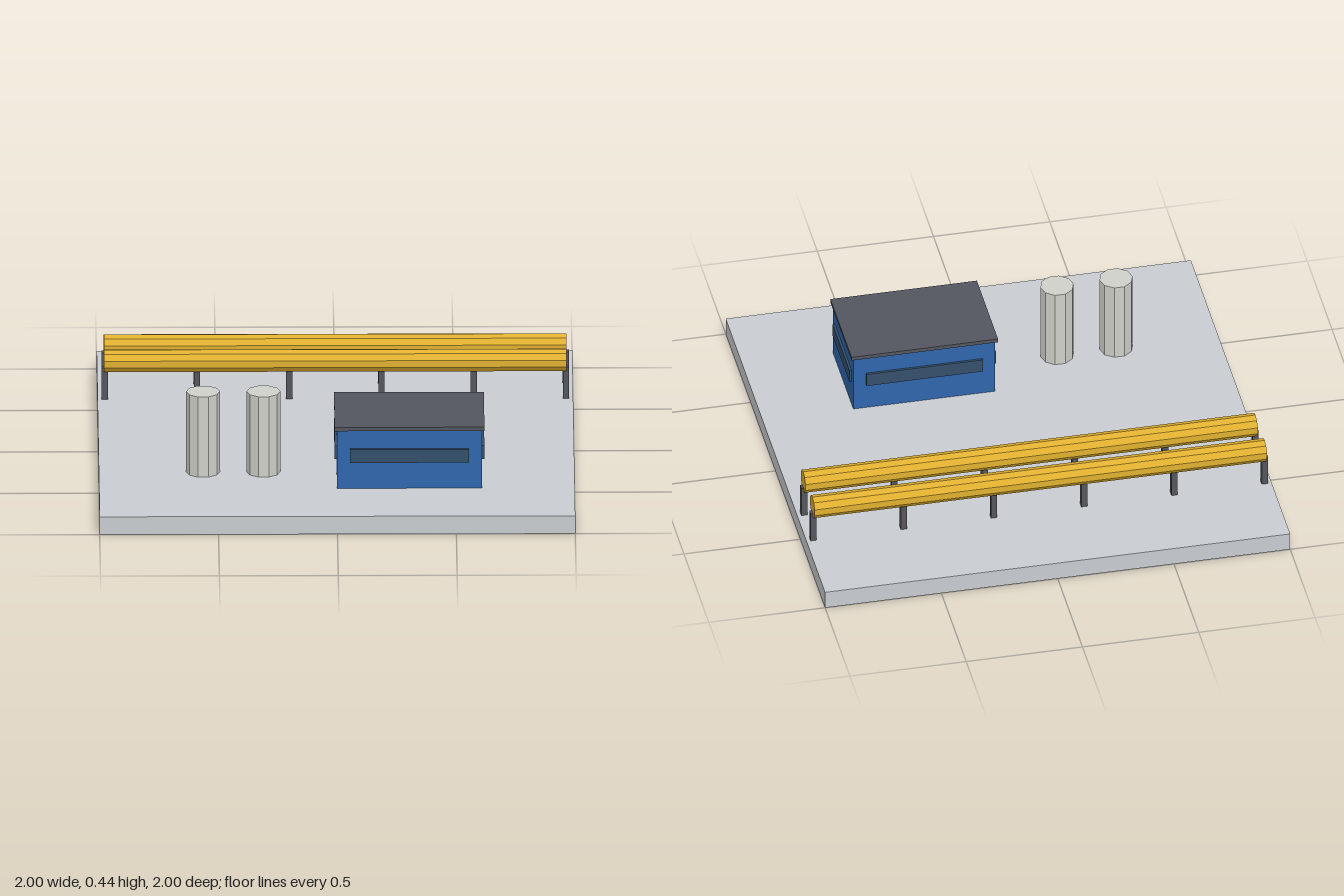
import * as THREE from 'three';

const material = (color) => new THREE.MeshStandardMaterial({ color, flatShading: true });
const slabMat = material(0xc8ccd0);
const pipeMat = material(0xe0b030);
const postMat = material(0x55565c);
const wallMat = material(0x2f66ad);
const roofMat = material(0x53565f);
const windowMat = material(0x34506b);
const tankMat = material(0xd0d0ca);

function add(parent, name, geometry, mat, x, y, z) {
  const mesh = new THREE.Mesh(geometry, mat);
  mesh.name = name;
  mesh.position.set(x, y, z);
  parent.add(mesh);
  return mesh;
}

// Ten-sided cylinder with a corner on the x axis
const decagon = (r, h) => new THREE.CylinderGeometry(r, r, h, 10, 1, false, Math.PI / 2);

function createPipeline(z) {
  const pipeline = new THREE.Group();
  pipeline.name = 'pipeline';
  pipeline.position.z = z;
  const pipe = add(pipeline, 'pipe', decagon(0.049, 1.945), pipeMat, 0, 0.248, 0);
  pipe.rotation.z = Math.PI / 2;

  // Evenly spaced posts that reach into the underside of the pipe
  const post = new THREE.BoxGeometry(0.026, 0.14, 0.026);
  for (let i = 0; i < 6; i++) {
    add(pipeline, 'pipePost', post, postMat, -0.97 + i * 0.388, 0.15, 0);
  }
  return pipeline;
}

function createBuilding() {
  const building = new THREE.Group();
  building.name = 'building';
  building.position.set(0.305, 0, 0.46);
  const width = 0.61, depth = 0.406;
  add(building, 'walls', new THREE.BoxGeometry(width, 0.26, depth), wallMat, 0, 0.21, 0);
  add(building, 'roof', new THREE.BoxGeometry(0.63, 0.017, 0.426), roofMat, 0, 0.3485, 0);

  // A window band on each wall
  const longBand = new THREE.BoxGeometry(0.5, 0.06, 0.02);
  const shortBand = new THREE.BoxGeometry(0.02, 0.06, 0.335);
  for (const s of [-1, 1]) {
    add(building, 'longWindow', longBand, windowMat, 0, 0.228, s * depth / 2);
    add(building, 'shortWindow', shortBand, windowMat, s * width / 2, 0.228, 0);
  }
  return building;
}

export function createModel() {
  const model = new THREE.Group();
  model.name = 'pumpingStation';
  add(model, 'groundSlab', new THREE.BoxGeometry(2, 0.08, 2), slabMat, 0, 0.04, 0);

  for (const z of [-0.43, -0.615]) model.add(createPipeline(z));
  model.add(createBuilding());

  // Upright storage tanks
  for (const x of [-0.562, -0.308]) {
    add(model, 'tank', decagon(0.071, 0.36), tankMat, x, 0.26, 0.457);
  }
  return model;
}
